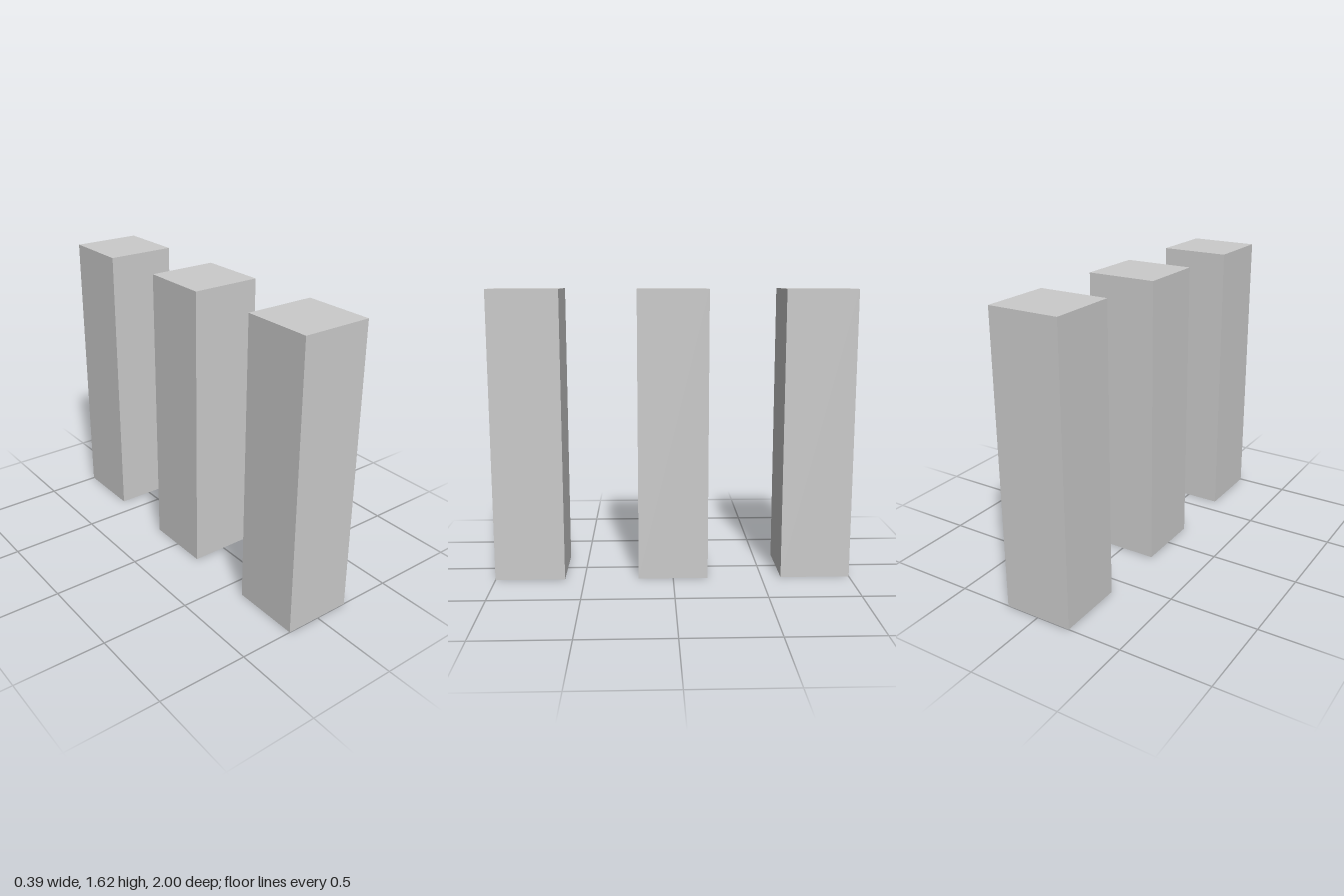
import * as THREE from 'three';

const WIDTH = 0.39;
const HEIGHT = 1.615;
const SPACING = 0.805;

export function createModel() {
  const group = new THREE.Group();
  group.name = 'pillarRow';

  const material = new THREE.MeshStandardMaterial({ color: 0xcccccc, flatShading: true });
  const geometry = new THREE.BoxGeometry(WIDTH, HEIGHT, WIDTH);

  // Three identical square pillars in a row from back to front
  ['backPillar', 'middlePillar', 'frontPillar'].forEach((name, i) => {
    const pillar = new THREE.Mesh(geometry, material);
    pillar.name = name;
    pillar.position.set(0, HEIGHT / 2, (i - 1) * SPACING);
    group.add(pillar);
  });

  return group;
}
